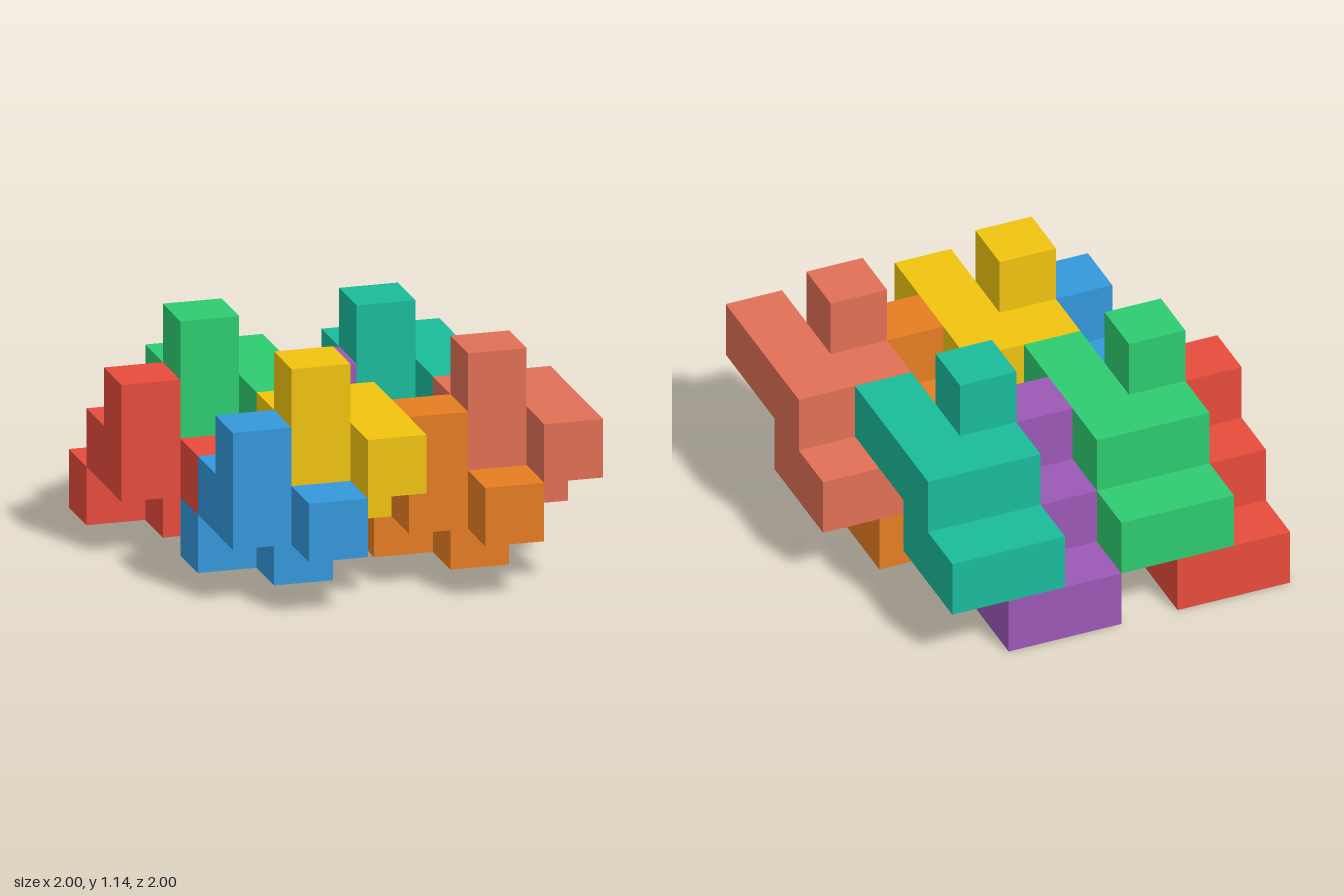
import * as THREE from 'three';
import { mergeGeometries } from 'three/addons/utils/BufferGeometryUtils.js';

const CELL = 2 / 7;

// One nine-cube puzzle piece, as x, y, z cells; every piece is a shifted copy
const CELLS = [
  [0, 0, 0], [1, 0, 0], [1, 0, 1],
  [0, 1, 1], [1, 1, 1], [0, 1, 2], [1, 1, 2], [1, 1, 3],
  [0, 2, 2],
];

// Lower layer of four pieces, then the upper layer nested on it
const PIECES = [
  ['redLowerPiece', 0xe74c3c, [0, 0, 0]],
  ['purpleLowerPiece', 0x9b59b6, [3, 0, 0]],
  ['blueLowerPiece', 0x3498db, [1, 0, 3]],
  ['orangeLowerPiece', 0xe67e22, [4, 0, 3]],
  ['greenUpperPiece', 0x2ecc71, [1, 1, 0]],
  ['tealUpperPiece', 0x1abc9c, [4, 1, 0]],
  ['yellowUpperPiece', 0xf1c40f, [2, 1, 3]],
  ['salmonUpperPiece', 0xe17055, [5, 1, 3]],
];

const DIRECTIONS = [[1, 0, 0], [-1, 0, 0], [0, 1, 0], [0, -1, 0], [0, 0, 1], [0, 0, -1]];

// Square faces only where a cell has no neighbour in the same piece
function pieceGeometry() {
  const filled = new Set(CELLS.map(String));
  const forward = new THREE.Vector3(0, 0, 1);
  const faces = [];
  for (const cell of CELLS) {
    for (const dir of DIRECTIONS) {
      if (filled.has(String(cell.map((c, i) => c + dir[i])))) continue;
      const turn = new THREE.Quaternion().setFromUnitVectors(forward, new THREE.Vector3(...dir));
      const centre = cell.map((c, i) => (c + 0.5 + dir[i] / 2) * CELL);
      faces.push(new THREE.PlaneGeometry(CELL, CELL).applyQuaternion(turn).translate(...centre));
    }
  }
  return mergeGeometries(faces);
}

export function createModel() {
  const model = new THREE.Group();
  model.name = 'interlockingPuzzle';
  const geometry = pieceGeometry();
  for (const [name, color, [x, y, z]] of PIECES) {
    const piece = new THREE.Mesh(geometry, new THREE.MeshStandardMaterial({ color }));
    piece.name = name;
    piece.position.set(x * CELL - 1, y * CELL, z * CELL - 1);
    model.add(piece);
  }
  return model;
}
